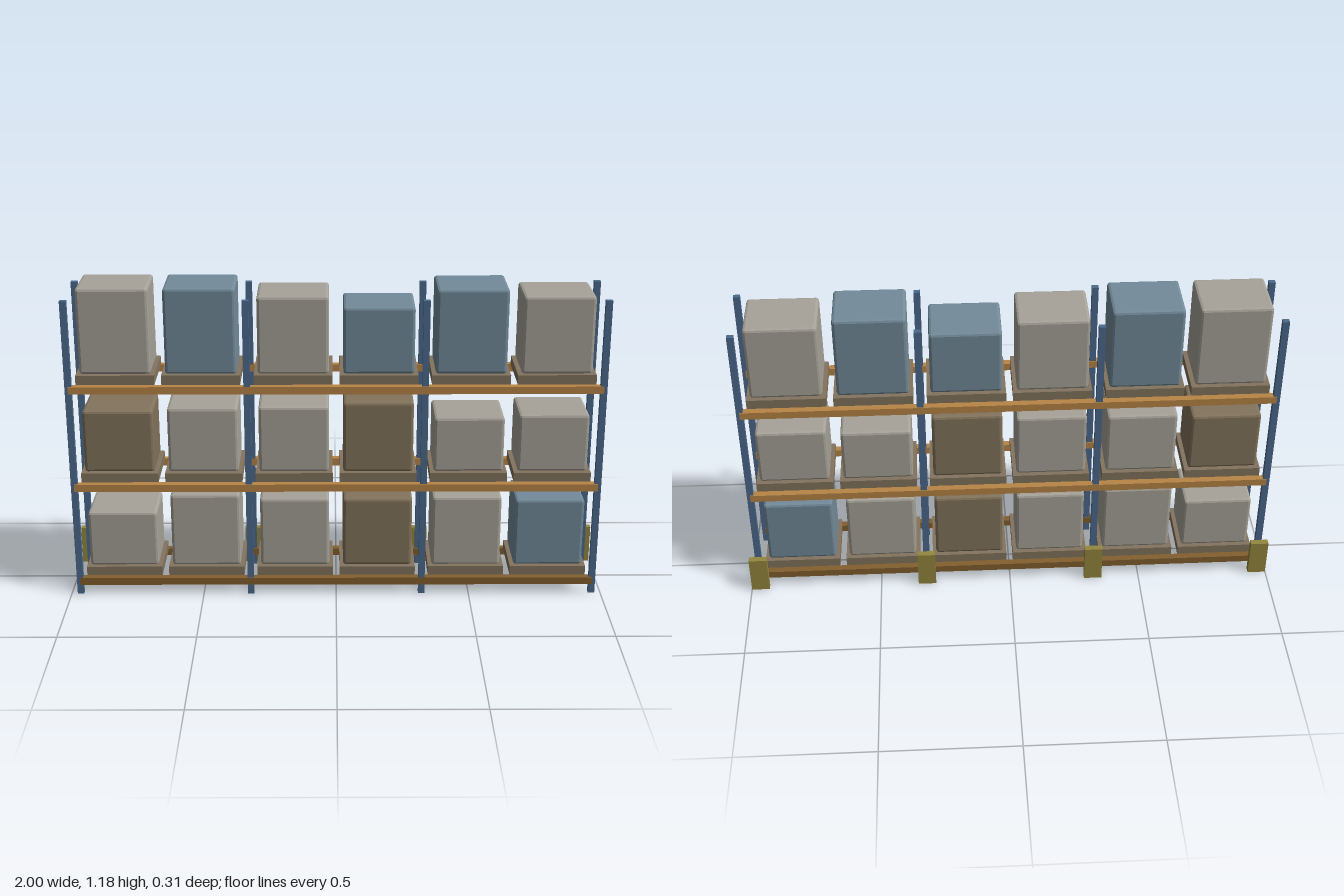
import * as THREE from 'three';
import { RoundedBoxGeometry } from 'three/addons/geometries/RoundedBoxGeometry.js';

function paint(name, color) {
  const m = new THREE.MeshStandardMaterial({ color });
  m.name = name;
  return m;
}

export function createModel() {
  const steel = paint('steel blue', 0x4c6a8e);
  const orange = paint('orange beam', 0xb98546);
  const darkBeam = paint('brown beam', 0x83602f);
  const wood = paint('pallet wood', 0x83745e);
  const yellow = paint('guard yellow', 0x94883f);
  const loads = {
    g: paint('grey load', 0xa7a399),
    b: paint('blue load', 0x738b9a),
    n: paint('brown load', 0x83745c),
  };

  const model = new THREE.Group();
  model.name = 'palletRack';

  const add = (name, geometry, material, x, y, z) => {
    const mesh = new THREE.Mesh(geometry, material);
    mesh.name = name;
    mesh.position.set(x, y, z);
    model.add(mesh);
  };

  const bay = 0.644;
  const midZ = 0.012;
  const railZ = 0.131;
  const postXs = [-1.5, -0.5, 0.5, 1.5].map((i) => i * bay);

  // Uprights, with an impact guard behind each rear one
  const postGeo = new THREE.BoxGeometry(0.024, 1.145, 0.02);
  const guardGeo = new THREE.BoxGeometry(0.068, 0.145, 0.024);
  for (const x of postXs) {
    for (const s of [-1, 1]) add('upright', postGeo, steel, x, 0.5725, midZ + s * railZ);
    add('uprightGuard', guardGeo, yellow, x, 0.0725, -0.143);
  }

  // Loads per level, left to right across the front: [colour, top height]
  const levels = [
    { y: 0.066, beam: darkBeam, loads: [['g', 0.318], ['g', 0.388], ['g', 0.372], ['n', 0.372], ['g', 0.377], ['b', 0.366]] },
    { y: 0.446, beam: orange, loads: [['n', 0.72], ['g', 0.73], ['g', 0.735], ['n', 0.752], ['g', 0.692], ['g', 0.703]] },
    { y: 0.826, beam: orange, loads: [['g', 1.18], ['b', 1.18], ['g', 1.15], ['b', 1.11], ['b', 1.176], ['g', 1.15]] },
  ];

  const beamGeo = new THREE.BoxGeometry(bay, 0.028, 0.026);
  const palletGeo = new THREE.BoxGeometry(0.285, 0.035, 0.236);

  for (const level of levels) {
    // Front and rear beams of each bay
    for (const b of [-1, 0, 1]) {
      for (const s of [-1, 1]) add('beam', beamGeo, level.beam, b * bay, level.y - 0.014, midZ + s * railZ);
    }
    // Two pallets per bay, each with a chamfered load
    level.loads.forEach(([colour, top], i) => {
      const x = (Math.floor(i / 2) - 1) * bay + (i % 2 ? 0.155 : -0.155);
      add('pallet', palletGeo, wood, x, level.y + 0.0175, midZ);
      const base = level.y + 0.035;
      const loadGeo = new RoundedBoxGeometry(0.258, top - base, 0.211, 1, 0.01);
      loadGeo.computeVertexNormals();
      add('load', loadGeo, loads[colour], x, (top + base) / 2, midZ);
    });
  }
  return model;
}
